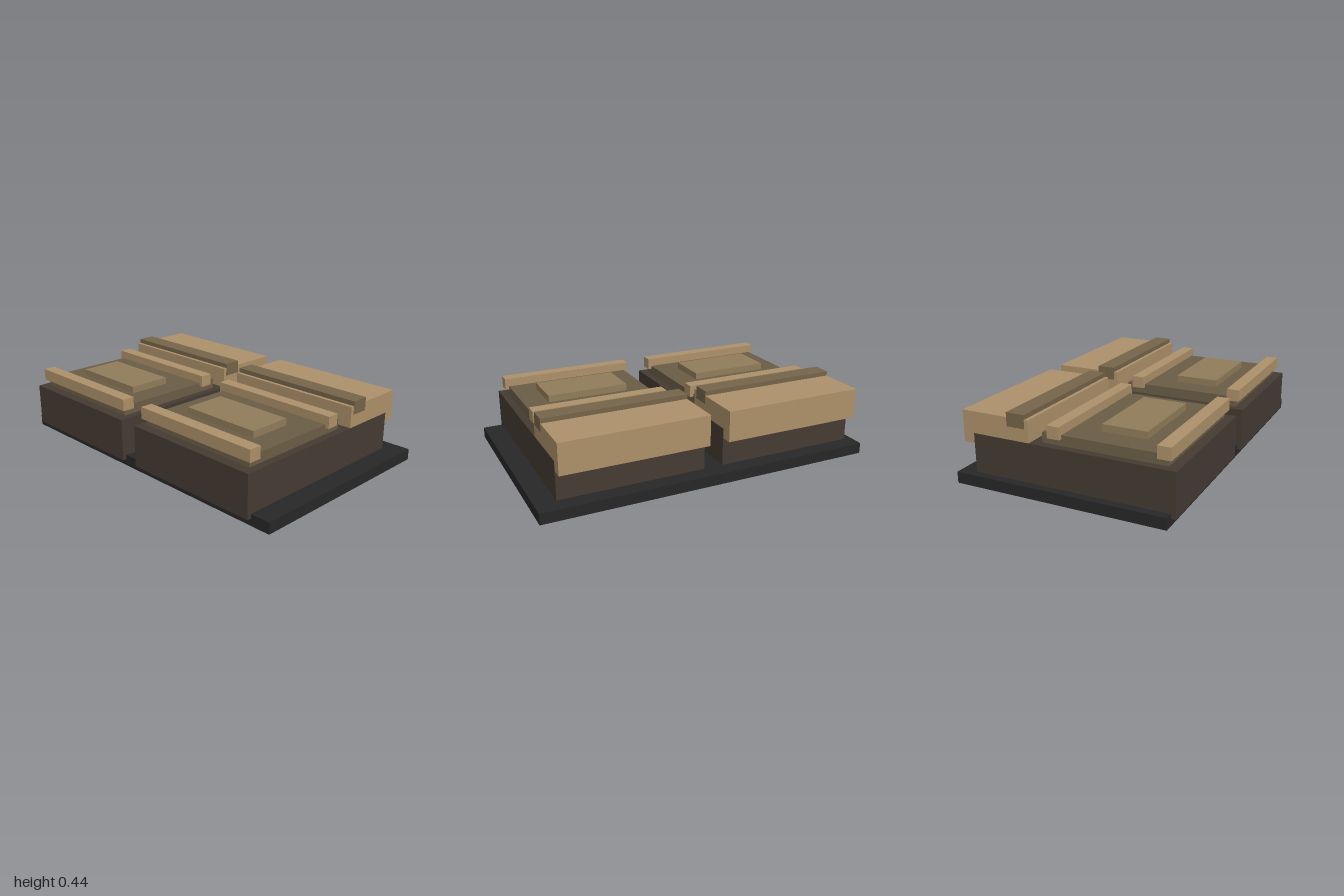
import * as THREE from 'three';

const mat = (color) => new THREE.MeshStandardMaterial({ color, flatShading: true });

// Box given by its centre x, width and y / z extents
function block(name, material, x, width, [y0, y1], [z0, z1]) {
  const mesh = new THREE.Mesh(new THREE.BoxGeometry(width, y1 - y0, z1 - z0), material);
  mesh.position.set(x, (y0 + y1) / 2, (z0 + z1) / 2);
  mesh.name = name;
  return mesh;
}

export function createModel() {
  const model = new THREE.Group();
  model.name = 'twinBlocks';

  const black = mat(0x272727);
  const darkBrown = mat(0x443a32);
  const brown = mat(0x6b5d46);
  const stripBrown = mat(0x746449);
  const olive = mat(0x907c59);
  const tan = mat(0xac9069);

  // Base plate
  model.add(block('basePlate', black, 0, 2, [0, 0.065], [-0.63, 0.605]));

  // Two identical units side by side
  [['rightUnit', -0.523], ['leftUnit', 0.451]].forEach(([name, x]) => {
    const unit = new THREE.Group();
    unit.name = name;
    unit.position.x = x;
    unit.add(
      block('body', darkBrown, 0, 0.859, [0.04, 0.287], [-0.535, 0.63]),
      block('topPanel', brown, 0, 0.77, [0.28, 0.345], [-0.135, 0.573]),
      block('centrePad', olive, 0, 0.492, [0.335, 0.385], [0.138, 0.396]),
      block('frontRail', tan, 0, 0.815, [0.325, 0.394], [0.52, 0.594]),
      block('middleRail', tan, 0, 0.815, [0.325, 0.394], [-0.093, -0.02]),
      block('rearBlock', tan, 0, 0.857, [0.23, 0.41], [-0.6, -0.19]),
      // Strip set into the rear block
      block('rearStrip', stripBrown, 0, 0.859, [0.36, 0.437], [-0.32, -0.212]),
    );
    model.add(unit);
  });

  return model;
}
